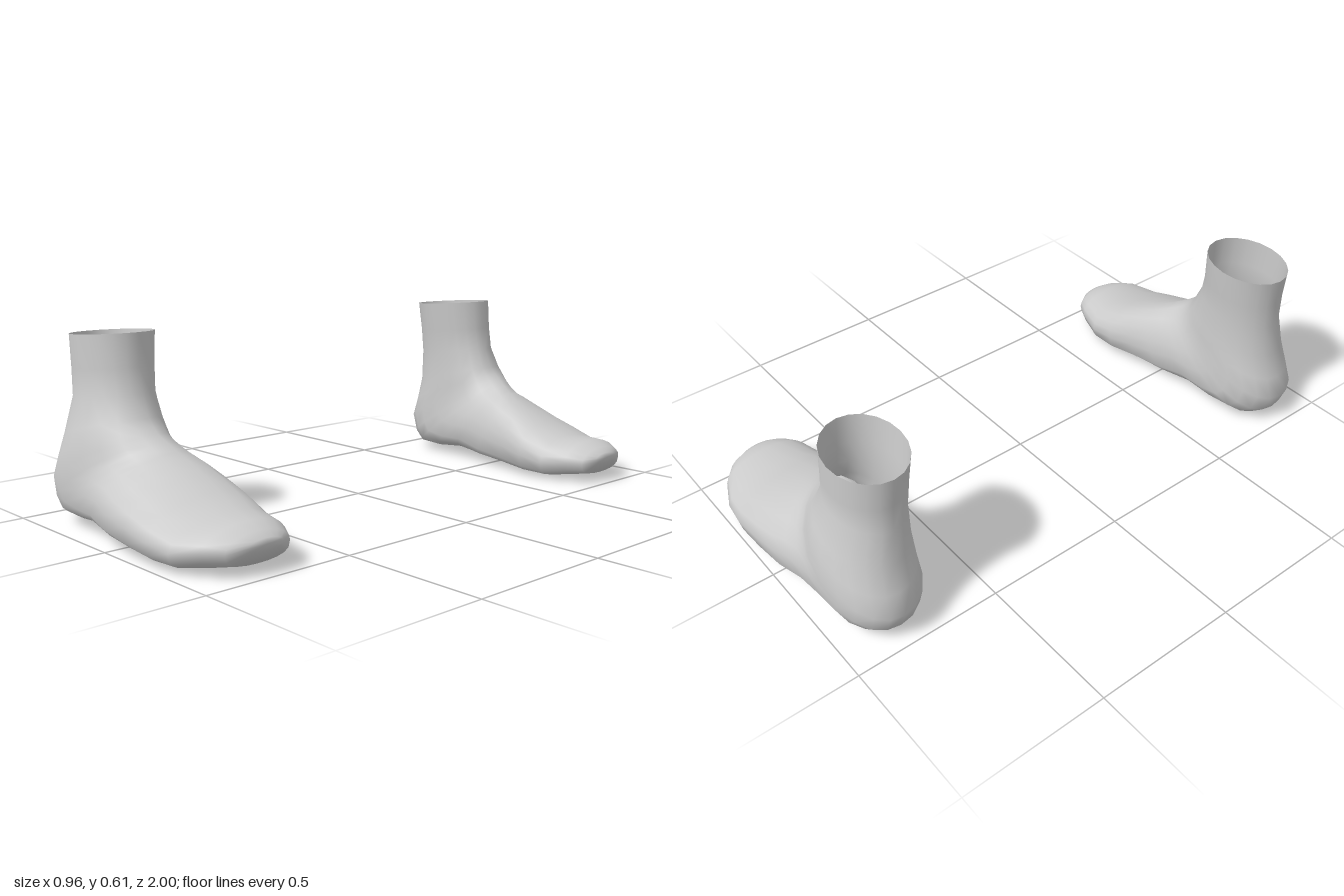
import * as THREE from 'three';

// Each ring: instep point x,y | heel or sole point x,y | inner z, outer z, ridge z
const RINGS = [
  [-0.13, 0.615, -0.43, 0.595, 0.66, 0.905, 0.78],
  [-0.125, 0.51, -0.42, 0.49, 0.67, 0.905, 0.785],
  [-0.11, 0.43, -0.42, 0.40, 0.68, 0.905, 0.785],
  [-0.08, 0.36, -0.432, 0.28, 0.675, 0.94, 0.785],
  [-0.055, 0.335, -0.458, 0.19, 0.675, 0.955, 0.785],
  [-0.035, 0.318, -0.481, 0.115, 0.673, 0.963, 0.785],
  [-0.015, 0.305, -0.455, 0.05, 0.67, 0.965, 0.78],
  [0.0, 0.295, -0.41, 0.017, 0.665, 0.965, 0.775],
  [0.02, 0.283, -0.30, 0.016, 0.66, 0.965, 0.77],
  [0.035, 0.272, -0.18, 0.03, 0.655, 0.975, 0.765],
  [0.08, 0.25, -0.05, 0.018, 0.64, 0.993, 0.755],
  [0.14, 0.222, 0.08, 0.01, 0.63, 1.0, 0.75],
  [0.22, 0.186, 0.2, 0.003, 0.615, 1.0, 0.75],
  [0.31, 0.148, 0.3, 0.005, 0.62, 0.985, 0.76],
  [0.4, 0.142, 0.385, 0.018, 0.645, 0.945, 0.78],
  [0.45, 0.125, 0.445, 0.03, 0.675, 0.9, 0.785],
  [0.476, 0.108, 0.474, 0.07, 0.72, 0.84, 0.78],
];
const SEGMENTS = 20;

// Loft the rings from the ankle opening round the heel and out to the toes
function footGeometry(side) {
  const positions = [], index = [];
  const tri = (a, b, c) => (side > 0 ? index.push(a, b, c) : index.push(a, c, b));
  RINGS.forEach(([fx, fy, bx, by, zin, zout, ridge], i) => {
    const blend = Math.min(1, Math.max(0, (i - 3) / 7)); // 0 = round ankle, 1 = flat-soled foot
    const flat = 1 - 0.35 * blend;
    const low = 1 + 0.25 * blend * (i > 13 ? 0.3 : 1);
    const mid = (zin + zout) / 2, half = (zout - zin) / 2;
    for (let j = 0; j < SEGMENTS; j++) {
      const t = (j / SEGMENTS) * Math.PI * 2;
      const c = Math.cos(t), up = Math.max(c, 0);
      const h = c < 0 ? -Math.pow(-c, flat) : c;
      const s = Math.pow((1 + h) / 2, low);
      const z = mid + half * Math.sin(t) + (ridge - mid) * up * up;
      positions.push(bx + (fx - bx) * s, by + (fy - by) * s, side * z);
    }
  });
  for (let i = 0; i < RINGS.length - 1; i++) {
    for (let j = 0; j < SEGMENTS; j++) {
      const k = (j + 1) % SEGMENTS;
      const a = i * SEGMENTS + j, b = i * SEGMENTS + k;
      tri(a, b, a + SEGMENTS);
      tri(b, b + SEGMENTS, a + SEGMENTS);
    }
  }
  // Close the toe tip
  const tip = positions.length / 3, last = (RINGS.length - 1) * SEGMENTS;
  positions.push(0.481, 0.092, side * 0.78);
  for (let j = 0; j < SEGMENTS; j++) tri(last + j, last + ((j + 1) % SEGMENTS), tip);

  const geometry = new THREE.BufferGeometry();
  geometry.setAttribute('position', new THREE.Float32BufferAttribute(positions, 3));
  geometry.setIndex(index);
  geometry.computeVertexNormals();
  return geometry;
}

export function createModel() {
  const group = new THREE.Group();
  group.name = 'pairOfFeet';
  const material = new THREE.MeshStandardMaterial({ color: 0xcccccc, side: THREE.DoubleSide });
  // Mirrored pair, toes towards +x, open at the ankles
  for (const [name, side] of [['frontFoot', 1], ['backFoot', -1]]) {
    const foot = new THREE.Mesh(footGeometry(side), material);
    foot.name = name;
    group.add(foot);
  }
  return group;
}
